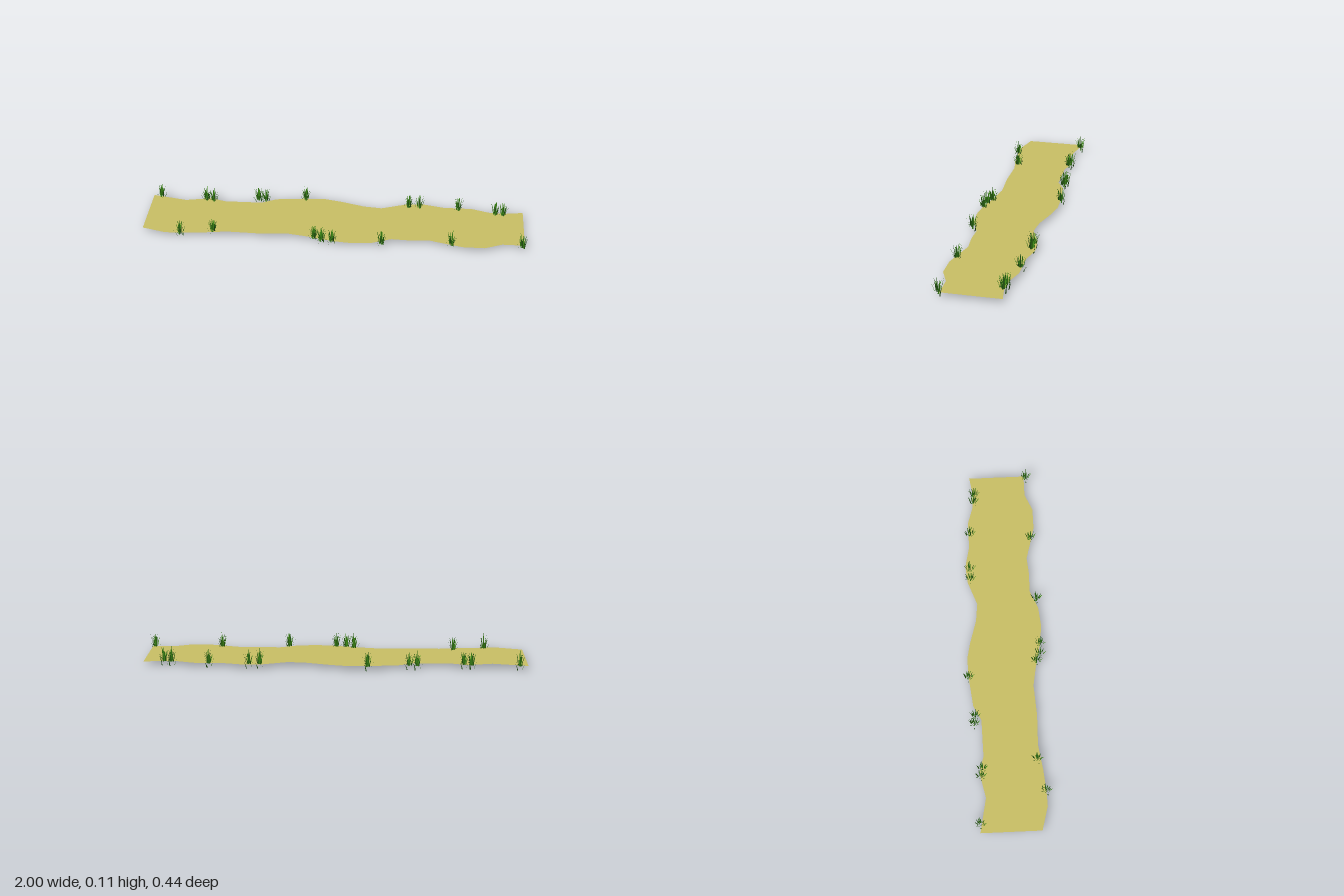
import * as THREE from 'three';
import { mergeGeometries } from 'three/addons/utils/BufferGeometryUtils.js';

const GROUND = 0.023;

// wavy outline of the path as x, z pairs, both edges running from -x to +x
const backEdge = [
  [-1, -0.165], [-0.82, -0.13], [-0.69, -0.158], [-0.605, -0.134], [-0.41, -0.137], [-0.335, -0.176],
  [-0.176, -0.195], [-0.07, -0.198], [0.016, -0.18], [0.14, -0.144], [0.235, -0.134], [0.36, -0.18],
  [0.455, -0.19], [0.565, -0.166], [0.715, -0.166], [0.81, -0.137], [0.9, -0.136], [0.985, -0.15],
];
const frontEdge = [
  [-1, 0.147], [-0.877, 0.18], [-0.8, 0.178], [-0.69, 0.168], [-0.556, 0.148], [-0.396, 0.152],
  [-0.235, 0.142], [-0.13, 0.16], [0, 0.19], [0.096, 0.2], [0.2, 0.19], [0.3, 0.148],
  [0.39, 0.152], [0.49, 0.143], [0.59, 0.17], [0.67, 0.19], [0.78, 0.19], [0.87, 0.151], [0.985, 0.151],
];

// grass tuft positions as x, z
const tufts = [
  [-0.955, -0.163], [-0.71, -0.15], [-0.67, -0.145], [-0.43, -0.175], [-0.39, -0.168], [-0.176, -0.195],
  [0.38, -0.165], [0.437, -0.167], [0.645, -0.158], [0.84, -0.133], [0.88, -0.128],
  [-0.797, 0.177], [-0.63, 0.14], [-0.1, 0.163], [-0.06, 0.184], [-0.005, 0.187],
  [0.25, 0.183], [0.61, 0.168], [0.973, 0.16],
];

function seeded(seed) {
  let s = seed;
  return () => {
    s = (s * 16807) % 2147483647;
    return s / 2147483647;
  };
}

// tapered blade, bent outward along +z, rooted at the origin
function bladeGeometry(height, width, lean) {
  const geo = new THREE.PlaneGeometry(width, height, 1, 3);
  geo.translate(0, height / 2, 0);
  const pos = geo.attributes.position;
  for (let i = 0; i < pos.count; i++) {
    const t = THREE.MathUtils.clamp(pos.getY(i) / height, 0, 1);
    pos.setX(i, pos.getX(i) * (1 - 0.97 * t * Math.sqrt(t)));
    pos.setZ(i, lean * (0.4 * t + 0.6 * t * t));
  }
  geo.computeVertexNormals();
  return geo;
}

function createTuft(index, materials) {
  const rand = seeded(index * 7919 + 101);
  const shades = materials.map(() => []);
  const count = 16;
  for (let i = 0; i < count; i++) {
    const angle = i * 2.4 + rand() * 0.5;
    const spread = Math.sqrt(i / count);          // inner blades first
    const height = 0.086 - 0.045 * spread * (0.5 + rand() * 0.5) - rand() * 0.014;
    const blade = bladeGeometry(height, 0.006 + rand() * 0.003, 0.004 + 0.014 * spread);
    blade.rotateY(angle);
    // the last outer blades are rooted below the path sheet
    const drop = i >= count - 2 ? GROUND : 0;
    blade.translate(Math.sin(angle) * spread * 0.015, -drop, Math.cos(angle) * spread * 0.019);
    shades[i % materials.length].push(blade);
  }
  const tuft = new THREE.Group();
  tuft.name = 'grassTuft';
  shades.forEach((blades, i) => {
    const mesh = new THREE.Mesh(mergeGeometries(blades), materials[i]);
    mesh.name = 'grassBlades';
    tuft.add(mesh);
  });
  return tuft;
}

export function createModel() {
  const model = new THREE.Group();
  model.name = 'grassyPath';

  // flat sandy path
  const outline = [...frontEdge, ...[...backEdge].reverse()].map(([x, z]) => new THREE.Vector2(x, -z));
  const pathGeo = new THREE.ShapeGeometry(new THREE.Shape(outline));
  pathGeo.rotateX(-Math.PI / 2);
  const path = new THREE.Mesh(pathGeo, new THREE.MeshStandardMaterial({ color: 0xc8be64, side: THREE.DoubleSide }));
  path.name = 'path';
  path.position.y = GROUND;
  model.add(path);

  // grass along both edges
  const greens = [0x2c6a10, 0x3f8f16, 0x1f4f10].map(
    (color) => new THREE.MeshStandardMaterial({ color, side: THREE.DoubleSide }));
  tufts.forEach(([x, z], i) => {
    const tuft = createTuft(i, greens);
    tuft.position.set(x, GROUND, z);
    model.add(tuft);
  });
  return model;
}
